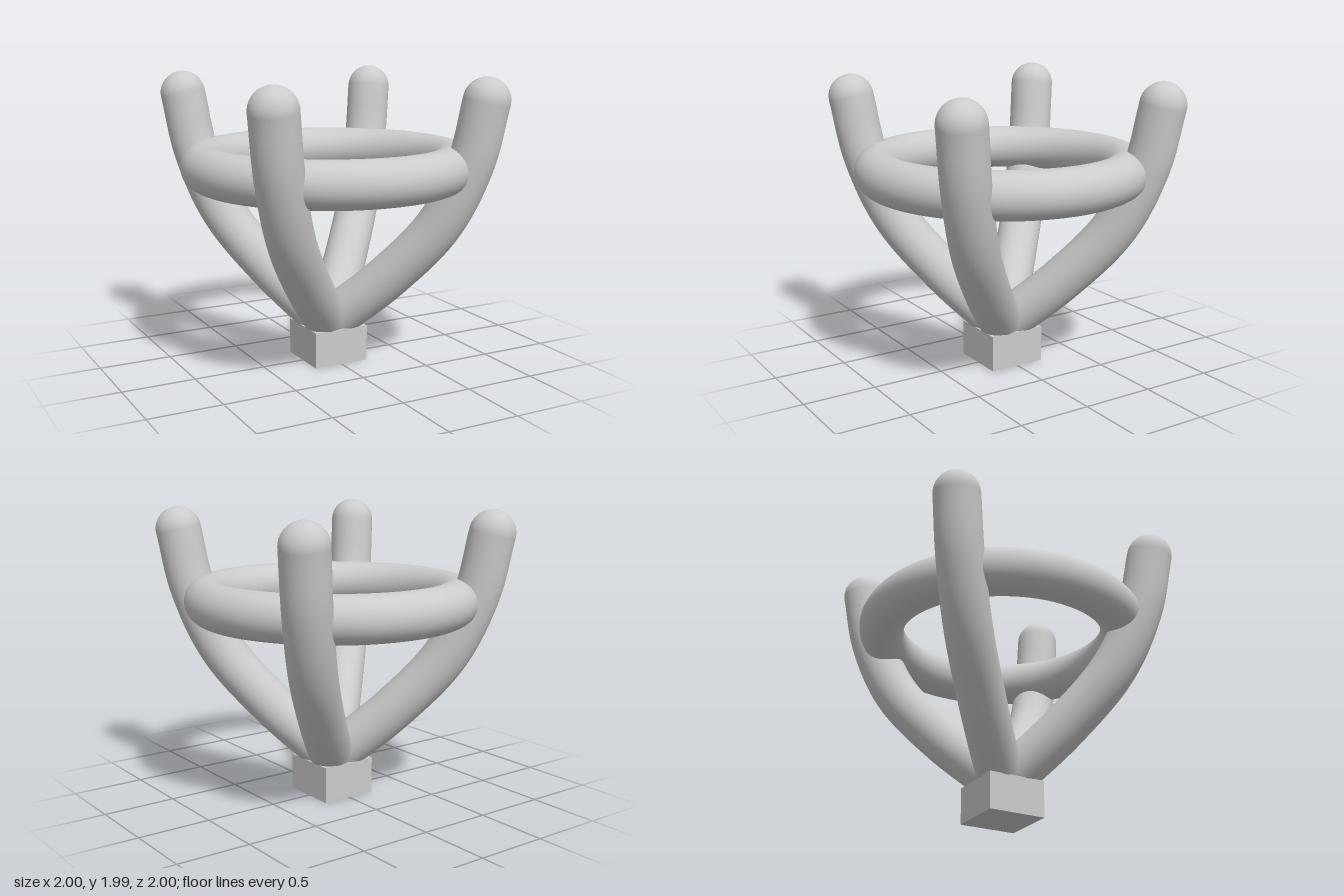
import * as THREE from 'three';

const RADIUS = 0.155;
const material = new THREE.MeshStandardMaterial({ color: 0xcccccc });

function addMesh(parent, name, geometry, x = 0, y = 0, z = 0) {
  const mesh = new THREE.Mesh(geometry, material);
  mesh.name = name;
  mesh.position.set(x, y, z);
  parent.add(mesh);
  return mesh;
}

export function createModel() {
  const group = new THREE.Group();
  group.name = 'prongSetting';

  // Square base block
  addMesh(group, 'base', new THREE.BoxGeometry(0.4, 0.25, 0.4), 0, 0.125, 0);

  // Horizontal ring held by the prongs
  const ring = addMesh(group, 'ring', new THREE.TorusGeometry(0.845, RADIUS, 40, 128), 0, 1.37, 0);
  ring.rotation.x = Math.PI / 2;

  // Centre line of one prong, on the diagonal: [x = z, y]
  const path = new THREE.CatmullRomCurve3(
    [[0, 0.25], [0.3, 0.61], [0.55, 1.0], [0.69, 1.42], [0.755, 1.83]]
      .map(([d, y]) => new THREE.Vector3(d, y, d)),
  );
  const tube = new THREE.TubeGeometry(path, 64, RADIUS, 40);
  const cap = new THREE.SphereGeometry(RADIUS, 40, 24);

  // Four curved prongs with rounded tips
  for (let i = 0; i < 4; i++) {
    const prong = new THREE.Group();
    prong.name = `prong${i + 1}`;
    addMesh(prong, 'prongArm', tube);
    addMesh(prong, 'prongTip', cap, 0.755, 1.83, 0.755);
    prong.rotation.y = (i * Math.PI) / 2;
    group.add(prong);
  }
  return group;
}
